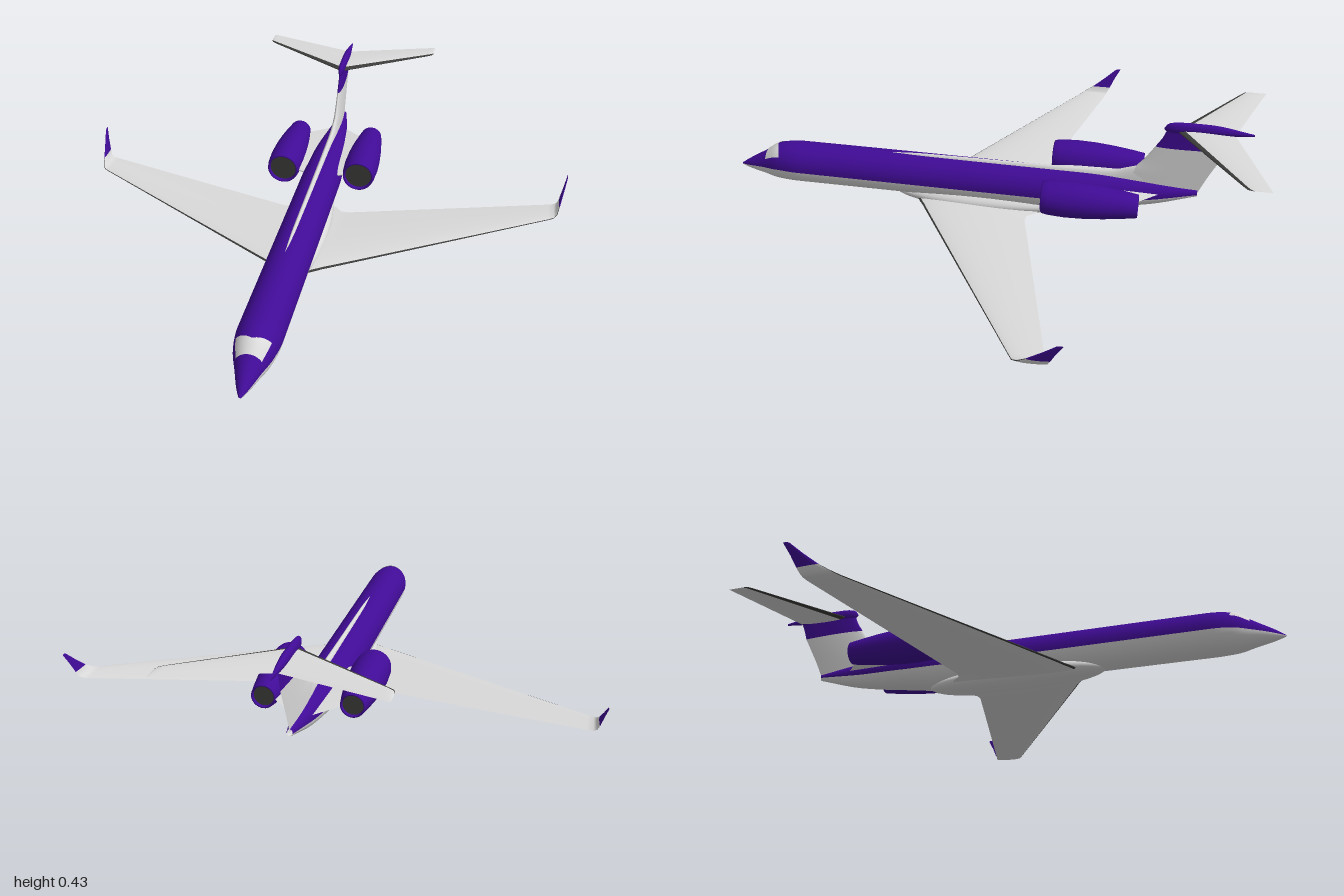
import * as THREE from 'three';

const mat = (name, color) => {
  const m = new THREE.MeshStandardMaterial({ color, side: THREE.DoubleSide });
  m.name = name;
  return m;
};

// Smooth interpolation in a table of rows [key, a, b, ...] sorted by falling key
function sample(table, key) {
  let i = 0;
  while (i < table.length - 2 && key < table[i + 1][0]) i++;
  const slope = (j, k) => {
    if (j <= 0 || j >= table.length - 1) return null;
    const d0 = (table[j][k] - table[j - 1][k]) / (table[j][0] - table[j - 1][0]);
    const d1 = (table[j + 1][k] - table[j][k]) / (table[j + 1][0] - table[j][0]);
    return d0 * d1 <= 0 ? 0 : (2 * d0 * d1) / (d0 + d1);
  };
  const a = table[i], b = table[i + 1], h = b[0] - a[0];
  const t = THREE.MathUtils.clamp((key - a[0]) / h, 0, 1);
  return a.slice(1).map((_, n) => {
    const k = n + 1, chord = (b[k] - a[k]) / h;
    const m0 = slope(i, k) ?? chord, m1 = slope(i + 1, k) ?? chord;
    return a[k] * (1 + 2 * t) * (1 - t) ** 2 + b[k] * t * t * (3 - 2 * t)
      + h * (m0 * t * (1 - t) ** 2 + m1 * t * t * (t - 1));
  });
}

// Surface through a grid of points f(u, v); side = -1 mirrors it in x
function surface(f, nu, nv, side = 1) {
  const pos = [], index = [];
  for (let i = 0; i <= nu; i++) for (let j = 0; j <= nv; j++) {
    const [x, y, z] = f(i / nu, j / nv);
    pos.push(x * side, y, z);
  }
  for (let i = 0; i < nu; i++) for (let j = 0; j < nv; j++) {
    const a = i * (nv + 1) + j, b = a + nv + 1;
    if (side > 0) index.push(a, b, b + 1, a, b + 1, a + 1);
    else index.push(a, b + 1, b, a, a + 1, b + 1);
  }
  const g = new THREE.BufferGeometry();
  g.setAttribute('position', new THREE.Float32BufferAttribute(pos, 3));
  g.setIndex(index);
  g.computeVertexNormals();
  return g;
}

// Aerofoil loft. Section: [x, y, zLeading, zTrailing, thickness, normalX, normalY]
function foil(sections, side = 1, from = 0, to = Math.PI * 2, nv = 28) {
  const n = sections.length - 1;
  return surface((u, v) => {
    const [x, y, le, te, t, nx, ny] = sections[Math.round(u * n)];
    const a = from + (to - from) * v, c = (1 + Math.cos(a)) / 2;
    const d = -Math.sign(Math.sin(a)) * t * 1.15 * Math.sqrt(c) * (1 - c) * 1.15;
    return [x + nx * d, y + ny * d, le + (te - le) * c];
  }, n, nv, side);
}

// Hull stations: z, centre height, half width, half height
const HULL = [
  [1, 0.077, 0.003, 0.003], [0.97, 0.083, 0.018, 0.018], [0.9, 0.097, 0.043, 0.046],
  [0.83, 0.111, 0.067, 0.074], [0.75, 0.115, 0.077, 0.08], [-0.25, 0.117, 0.077, 0.079],
  [-0.4, 0.126, 0.068, 0.07], [-0.6, 0.135, 0.042, 0.048], [-0.775, 0.15, 0.01, 0.012],
];
// Height of the paint line along the hull
const PAINT = [[1, 0.077], [0.9, 0.095], [0.8, 0.105], [-0.2, 0.105], [-0.55, 0.12], [-0.775, 0.147]];

function hullPoint(z, a, grow = 0, table = HULL) {
  const [cy, rx, ry] = sample(table, z);
  return [(rx + grow) * Math.cos(a), cy + (ry + grow) * Math.sin(a), z];
}
function paintAngle(z) {
  const [cy, , ry] = sample(HULL, z);
  return Math.asin(THREE.MathUtils.clamp((sample(PAINT, z)[0] - cy) / ry, -0.95, 0.95));
}

export function createModel() {
  const model = new THREE.Group();
  model.name = 'businessJet';
  const purple = mat('purplePaint', 0x400b96);
  const white = mat('whitePaint', 0xdadada);
  const dark = mat('darkMetal', 0x3c3c3a);
  const add = (name, geometry, material) => {
    const m = new THREE.Mesh(geometry, material);
    m.name = name;
    model.add(m);
    return m;
  };

  // Fuselage: painted upper shell and white lower shell
  const hullZ = (u) => 1 - 1.775 * u;
  add('upperFuselage', surface((u, v) => {
    const z = hullZ(u), a = paintAngle(z);
    return hullPoint(z, a + (Math.PI - 2 * a) * v);
  }, 90, 24), purple);
  add('lowerFuselage', surface((u, v) => {
    const z = hullZ(u), a = paintAngle(z);
    return hullPoint(z, Math.PI - a + (Math.PI + 2 * a) * v);
  }, 90, 24), white);

  // Windscreen band
  add('windscreen', surface((u, v) => {
    const a = 0.6 + (Math.PI - 1.2) * v;
    const back = 0.84 - 0.025 * Math.abs(Math.cos(a));
    return hullPoint(0.885 + (back - 0.885) * u, a, 0.002);
  }, 6, 20), white);

  // Belly fairing
  const belly = add('bellyFairing', new THREE.SphereGeometry(1, 36, 20), white);
  belly.scale.set(0.083, 0.045, 0.34);
  belly.position.set(0, 0.045, 0.03);

  // Ridge along the back, rising into the fin
  const RIDGE = [[0.4, 0.18, 0.002, 0.015], [0.25, 0.18, 0.009, 0.023], [-0.2, 0.18, 0.012, 0.028],
    [-0.45, 0.175, 0.014, 0.04], [-0.56, 0.17, 0.014, 0.075], [-0.62, 0.16, 0.01, 0.09]];
  add('dorsalRidge', surface((u, v) => hullPoint(0.4 - 1.02 * u, Math.PI * v, 0, RIDGE), 40, 10), white);

  // Fin, its painted top and the bullet fairing
  add('fin', foil([
    [0, 0.15, -0.48, -0.775, 0.026, -1, 0], [0, 0.215, -0.5, -0.803, 0.026, -1, 0],
    [0, 0.24, -0.545, -0.815, 0.024, -1, 0], [0, 0.28, -0.578, -0.835, 0.022, -1, 0],
    [0, 0.33, -0.61, -0.86, 0.02, -1, 0],
  ]), white);
  add('finTop', foil([
    [0, 0.33, -0.61, -0.86, 0.02, -1, 0], [0, 0.365, -0.632, -0.87, 0.019, -1, 0],
    [0, 0.41, -0.65, -0.885, 0.018, -1, 0],
  ]), purple);
  const BULLET = [[-0.635, 0.405, 0.001, 0.003], [-0.65, 0.409, 0.008, 0.018], [-0.69, 0.411, 0.013, 0.023],
    [-0.8, 0.413, 0.014, 0.021], [-0.95, 0.408, 0.002, 0.004]];
  add('bulletFairing', surface((u, v) =>
    hullPoint(-0.635 - 0.315 * u, Math.PI * 2 * v, 0, BULLET), 32, 16), purple);

  // Sections of the flying surfaces, root to tip
  const WING = [
    [0, 0.032, 0.3, -0.22, 0.03, 0, 1], [0.075, 0.035, 0.255, -0.19, 0.028, 0, 1],
    [0.1, 0.036, 0.238, -0.16, 0.026, 0, 1], [0.13, 0.037, 0.221, -0.158, 0.025, 0, 1],
    [0.5, 0.046, 0.002, -0.25, 0.017, 0, 1], [0.9, 0.056, -0.235, -0.35, 0.009, 0, 1],
    [0.922, 0.058, -0.248, -0.355, 0.008, -0.3, 0.95], [0.933, 0.066, -0.265, -0.36, 0.008, -0.8, 0.6],
    [0.94, 0.085, -0.295, -0.37, 0.007, -0.96, 0.28],
  ];
  const WINGLET = [
    WING[8], [0.951, 0.125, -0.345, -0.388, 0.006, -0.96, 0.28],
    [0.961, 0.163, -0.388, -0.409, 0.004, -0.96, 0.28], [0.962, 0.168, -0.398, -0.411, 0, -0.96, 0.28],
  ];
  const STABILIZER = [
    [0, 0.4, -0.68, -0.885, 0.018, 0, 1], [0.335, 0.4, -0.905, -0.993, 0.008, 0, 1],
    [0.355, 0.4, -0.92, -1, 0.006, 0, 1], [0.361, 0.4, -0.935, -1, 0, 0, 1],
  ];
  const PYLON = [[0.03, 0.148, -0.23, -0.64, 0.03, 0, 1], [0.12, 0.157, -0.25, -0.56, 0.024, 0, 1]];

  // White body of a surface with a dark leading edge of half angle d
  const edged = (name, sections, side, d) => {
    add(name + 'Upper', foil(sections, side, Math.PI + d, Math.PI * 2, 12), white);
    add(name + 'Lower', foil(sections, side, 0, Math.PI - d, 12), white);
    add(name + 'LeadingEdge', foil(sections, side, Math.PI - d, Math.PI + d, 8), dark);
  };

  // Nacelle profile: radius, z
  const nacelle = [
    [0.034, -0.55], [0.037, -0.57], [0.042, -0.57], [0.05, -0.52], [0.059, -0.45], [0.065, -0.38],
    [0.067, -0.31], [0.064, -0.25], [0.06, -0.228], [0.056, -0.224], [0.053, -0.23], [0.051, -0.25],
  ].map(([r, z]) => new THREE.Vector2(r, z));

  for (const [word, side] of [['left', 1], ['right', -1]]) {
    edged(word + 'Wing', WING, side, 0.26);
    add(word + 'Winglet', foil(WINGLET, side), purple);
    edged(word + 'Stabilizer', STABILIZER, side, 0.68);
    add(word + 'Pylon', foil(PYLON, side), white);

    // Engine with intake and exhaust faces
    const place = (mesh, z = 0) => mesh.position.set(side * 0.152, 0.163, z);
    place(add(word + 'Nacelle', new THREE.LatheGeometry(nacelle, 32).rotateX(Math.PI / 2), purple));
    place(add(word + 'Intake', new THREE.CircleGeometry(0.052, 32), dark), -0.24);
    place(add(word + 'Exhaust', new THREE.CircleGeometry(0.036, 32).rotateY(Math.PI), dark), -0.56);
  }
  return model;
}
